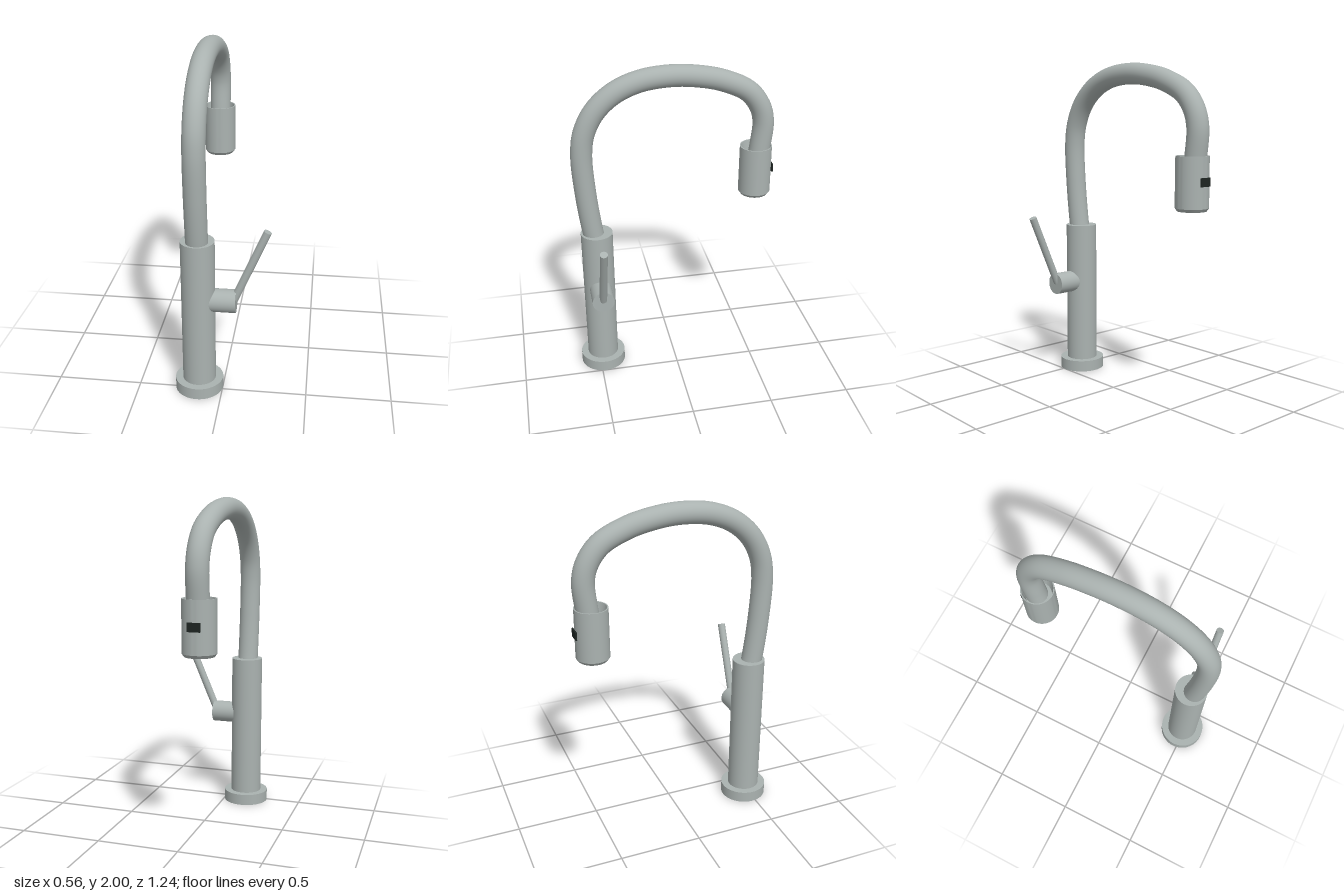
import * as THREE from 'three';
import { toCreasedNormals } from 'three/addons/utils/BufferGeometryUtils.js';

export function createModel() {
  const model = new THREE.Group();
  model.name = 'kitchenTap';

  const steel = new THREE.MeshStandardMaterial({ color: 0xaab2b0 });
  steel.name = 'brushedSteel';
  const dark = new THREE.MeshStandardMaterial({ color: 0x1e2522 });
  dark.name = 'darkButton';

  const X = -0.14; // plane of the column and spout
  const Z = 0.477; // column axis
  const HEAD_Z = -0.515; // spray head axis

  function add(name, geometry, material, x = 0, y = 0, z = 0) {
    const mesh = new THREE.Mesh(geometry, material);
    mesh.name = name;
    mesh.position.set(x, y, z);
    model.add(mesh);
    return mesh;
  }

  // Round rod between two points
  function rod(name, radius, from, to) {
    const dir = to.clone().sub(from);
    const mesh = add(name, new THREE.CylinderGeometry(radius, radius, dir.length(), 48), steel);
    mesh.position.copy(from).addScaledVector(dir, 0.5);
    mesh.quaternion.setFromUnitVectors(new THREE.Vector3(0, 1, 0), dir.normalize());
    return mesh;
  }

  // Foot and upright column
  add('baseFlange', new THREE.CylinderGeometry(0.142, 0.142, 0.07, 64), steel, X, 0.035, Z);
  add('column', new THREE.CylinderGeometry(0.098, 0.098, 0.91, 64), steel, X, 0.515, Z);

  // Curved hose, as [z, y] points from the column to the spray head
  const path = [
    [0.485, 0.9], [0.502, 1.0], [0.53, 1.25], [0.54, 1.5], [0.518, 1.63],
    [0.452, 1.755], [0.34, 1.855], [0.19, 1.917], [0, 1.937], [-0.16, 1.922],
    [-0.3, 1.888], [-0.45, 1.815], [-0.525, 1.72], [-0.552, 1.62], [-0.54, 1.465], [-0.525, 1.36],
  ].map(([z, y]) => new THREE.Vector3(X, y, z));
  const hose = new THREE.CatmullRomCurve3(path);
  add('spoutHose', new THREE.TubeGeometry(hose, 96, 0.064, 32), steel);

  // Spray head: hollow collar above, recessed nozzle below
  const profile = [
    [0, 1.18], [0.064, 1.18], [0.066, 1.15], [0.085, 1.15], [0.098, 1.168],
    [0.097, 1.465], [0.09, 1.465], [0.075, 1.38], [0, 1.38],
  ].map(([r, y]) => new THREE.Vector2(r, y));
  const head = toCreasedNormals(new THREE.LatheGeometry(profile, 64), 0.5);
  add('sprayHead', head, steel, X, 0, HEAD_Z);
  add('sprayButton', new THREE.BoxGeometry(0.074, 0.05, 0.009), dark, X, 1.32, -0.6155);

  // Side valve and slanted lever
  rod('valveStub', 0.068, new THREE.Vector3(X + 0.04, 0.597, Z), new THREE.Vector3(0.081, 0.597, Z));
  rod('lever', 0.023, new THREE.Vector3(0.067, 0.604, Z), new THREE.Vector3(0.255, 1.045, Z));

  return model;
}
